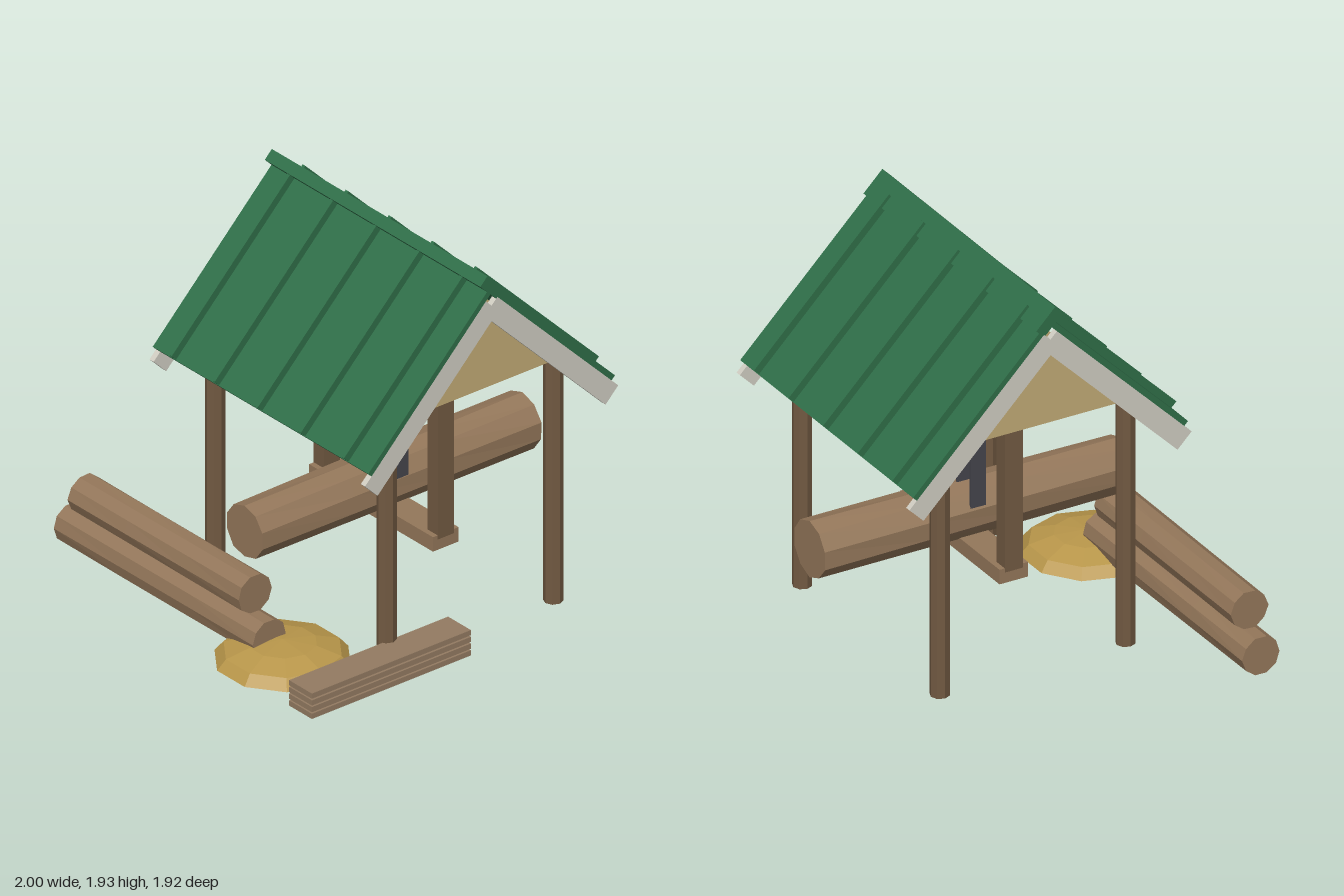
import * as THREE from 'three';

const mat = (color, extra = {}) => new THREE.MeshStandardMaterial({ color, flatShading: true, ...extra });

export function createModel() {
  const model = new THREE.Group();
  const bark = mat(0x94775a), post = mat(0x725a42), plank = mat(0x937b62);
  const green = mat(0x2f6e48), trim = mat(0xd0cdc2), gableMat = mat(0xc2ab76, { side: THREE.DoubleSide });
  const strapMat = mat(0x45454c), dust = mat(0xb8964a);
  const CX = 0.2, CZ = -0.155; // centre of the shelter

  const add = (parent, name, geo, material, x = 0, y = 0, z = 0) => {
    const m = new THREE.Mesh(geo, material);
    m.name = name;
    m.position.set(x, y, z);
    parent.add(m);
    return m;
  };
  const box = (name, w, h, d, material, x, y, z) =>
    add(model, name, new THREE.BoxGeometry(w, h, d), material, x, y, z);

  // Ten-sided log with slightly uneven radius
  const logGeo = (rTop, rBottom, length, seed) => {
    const g = new THREE.CylinderGeometry(rTop, rBottom, length, 10, 3);
    const p = g.attributes.position;
    for (let i = 0; i < p.count; i++) {
      const a = Math.atan2(p.getZ(i), p.getX(i));
      const k = 1 + 0.025 * Math.sin(Math.cos(a) * 5 + Math.sin(a) * 3 + p.getY(i) * 2 + seed);
      p.setX(i, p.getX(i) * k);
      p.setZ(i, p.getZ(i) * k);
    }
    g.computeVertexNormals();
    return g;
  };

  // Corner posts
  for (const x of [-0.41, 0.815])
    for (const z of [0.335, -0.645])
      add(model, 'cornerPost', new THREE.CylinderGeometry(0.047, 0.047, 1.26, 8), post, x, 0.63, z);

  // Roof half: n runs out of the slope, u runs down it
  const roof = new THREE.Group();
  roof.name = 'roof';
  roof.position.set(CX, 0, CZ);
  model.add(roof);
  const slopeBox = (parent, name, material, x, w, n0, n1, u0, u1) => {
    const n = (n0 + n1) / 2, u = (u0 + u1) / 2;
    const m = add(parent, name, new THREE.BoxGeometry(w, n1 - n0, u1 - u0), material,
      x, (n - u) * Math.SQRT1_2, (n + u) * Math.SQRT1_2);
    m.rotation.x = Math.PI / 4;
  };
  for (const turn of [0, Math.PI]) {
    const half = new THREE.Group();
    half.name = turn ? 'backRoofSlope' : 'frontRoofSlope';
    half.rotation.y = turn;
    roof.add(half);
    slopeBox(half, 'roofPanel', green, 0, 1.54, 1.298, 1.326, -1.32, -0.30);
    for (let i = -2; i <= 2; i++)
      slopeBox(half, 'roofSeam', green, i * 0.308, 0.02, 1.315, 1.363, -1.31, -0.303);
    for (const s of [-1, 1])
      slopeBox(half, 'bargeBoard', trim, s * 0.755, 0.03, 1.193, 1.298, -1.25, -0.245);
  }
  slopeBox(roof, 'ridgeCap', green, 0, 1.54, 1.241, 1.382, -1.347, -1.288);

  // Triangular gable panels
  const tri = new THREE.Shape([
    new THREE.Vector2(-0.55, 1.25), new THREE.Vector2(0.55, 1.25), new THREE.Vector2(0, 1.8)]);
  for (const x of [-0.41, 0.815]) {
    const g = new THREE.ExtrudeGeometry(tri, { depth: 0.02, bevelEnabled: false });
    g.translate(0, 0, -0.01);
    add(model, 'gablePanel', g, gableMat, x, 0, CZ).rotation.y = Math.PI / 2;
  }

  // Support frame
  for (const x of [-0.207, 0.607])
    box('frameUpright', 0.075, 0.8, 0.095, post, x, 0.83, CZ);
  box('frameTopBeam', 0.89, 0.08, 0.095, post, CX, 1.25, CZ);
  box('frameBottomBeam', 0.885, 0.075, 0.15, bark, CX, 0.413, CZ);

  // Log resting in the frame, with its straps
  add(model, 'largeLog', logGeo(0.133, 0.143, 1.635, 1), bark, CX, 0.556, -0.153).rotation.x = Math.PI / 2;
  for (const x of [-0.122, 0, 0.122])
    box('strap', 0.01, 0.62, 0.08, strapMat, CX + x, 0.91, CZ);

  // Stacked logs on the ground
  add(model, 'lowerLog', logGeo(0.098, 0.098, 1.42, 2), bark, -0.29, 0.102, 0.7).rotation.z = Math.PI / 2;
  add(model, 'upperLog', logGeo(0.098, 0.098, 1.22, 4), bark, -0.29, 0.294, 0.7).rotation.z = Math.PI / 2;

  // Sawdust heap with closed base
  const heap = new THREE.SphereGeometry(1, 10, 3, 0, Math.PI * 2, 0, Math.PI / 2);
  add(model, 'sawdustHeap', heap, dust, 0.455, 0, 0.65).scale.set(0.32, 0.1, 0.32);
  const base = new THREE.CircleGeometry(0.32, 10);
  add(model, 'heapBase', base, dust, 0.455, 0.001, 0.65).rotation.x = Math.PI / 2;

  // Stack of planks
  for (let i = 0; i < 4; i++)
    box('plank', 0.163, 0.027, 0.935, plank, 0.916, 0.027 + i * 0.035, 0.457);

  return model;
}
